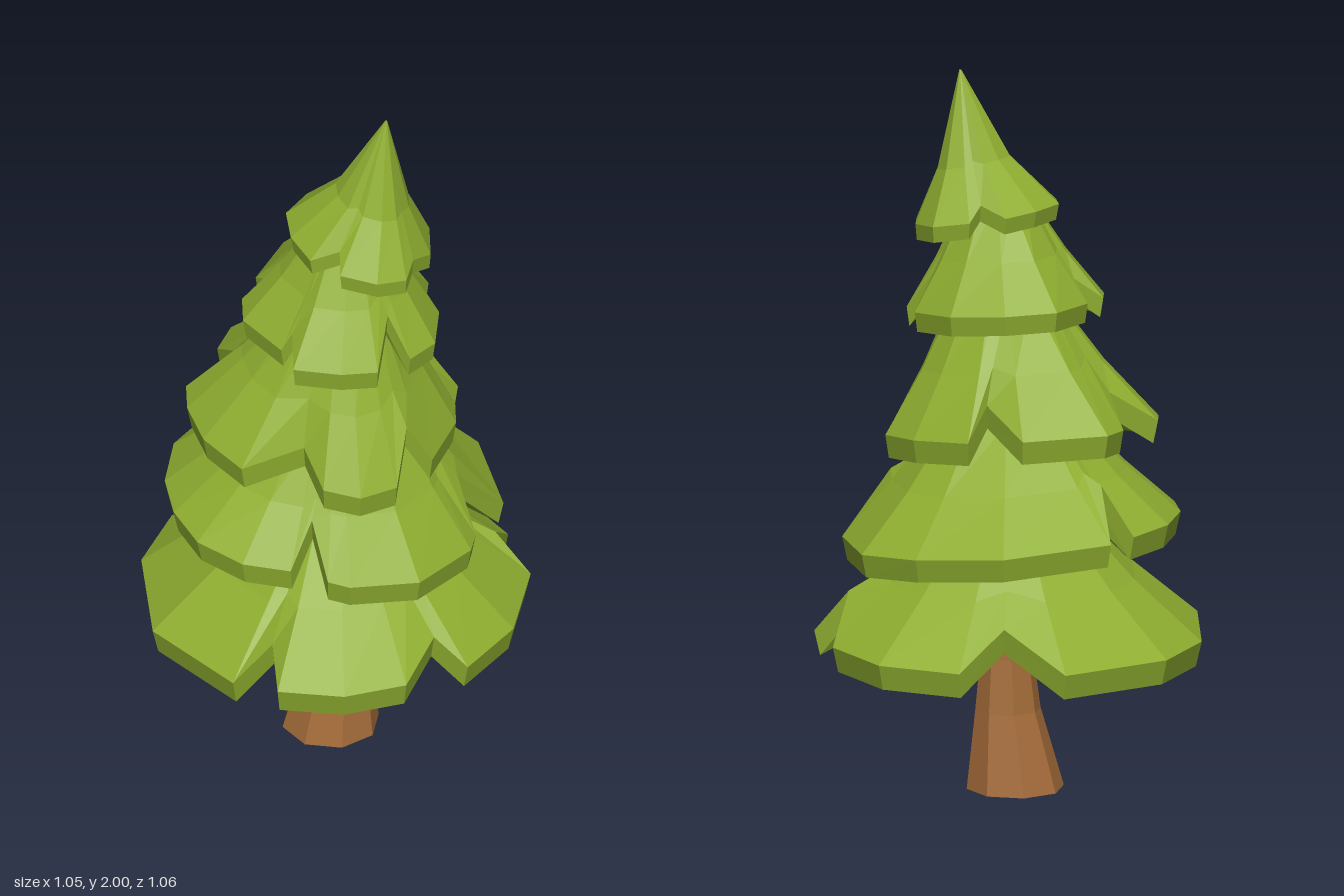
import * as THREE from 'three';

// Skins a stack of closed rings (each a list of [x, y, z]), lowest first.
function loft(rings, color, name) {
  const pos = [];
  for (let r = 0; r < rings.length - 1; r++) {
    const lo = rings[r], hi = rings[r + 1], n = lo.length;
    for (let i = 0; i < n; i++) {
      const j = (i + 1) % n;
      pos.push(...lo[i], ...lo[j], ...hi[j], ...lo[i], ...hi[j], ...hi[i]);
    }
  }
  const geo = new THREE.BufferGeometry();
  geo.setAttribute('position', new THREE.Float32BufferAttribute(pos, 3));
  geo.computeVertexNormals();
  const mesh = new THREE.Mesh(geo, new THREE.MeshStandardMaterial({ color, flatShading: true }));
  mesh.name = name;
  return mesh;
}

const mix = (a, b, t) => a + (b - a) * t;

// One skirt of branches. Outline points are [x, z, lift]; lift marks a notch.
function branchTier({ name, outline, y, tilt, thick, top, bend = 0.45 }) {
  const [cx, cy, cz, r] = top;
  const n = outline.length;
  const rimLow = outline.map(([x, z, lift = 0]) =>
    [mix(x, cx, 0.03), y + tilt[0] * x + tilt[1] * z + lift, mix(z, cz, 0.03)]);
  const rimHigh = outline.map(([x, z], i) => [x, rimLow[i][1] + thick, z]);
  const crown = outline.map(([x, z]) => {
    const a = Math.atan2(x - cx * 0.5, z - cz * 0.5);
    return [cx + r * Math.sin(a), cy, cz + r * Math.cos(a)];
  });
  // notches fade out above the rim
  const faded = (ring) => ring.map((p, i) => {
    if (!outline[i][2]) return p;
    const a = ring[(i + n - 1) % n], b = ring[(i + 1) % n];
    return p.map((v, k) => mix(v, (a[k] + b[k]) / 2, 0.55));
  });
  const between = (ring, txz, ty) => faded(ring).map((p, i) =>
    [mix(p[0], crown[i][0], txz), mix(p[1], crown[i][1], ty), mix(p[2], crown[i][2], txz)]);
  const centre = outline.map(() => [cx * 0.4, mix(y, cy, 0.42), cz * 0.4]);
  const peak = outline.map(() => [cx, cy, cz]);
  return loft([
    centre, between(rimLow, 0.55, 0.24), // shallow hollow underside
    rimLow, rimHigh, between(rimHigh, 0.5, bend), crown, peak,
  ], 0x8fae30, name);
}

const bottomOutline = [
  [-0.18, 0.50], [0, 0.53], [0.17, 0.48], [0.25, 0.34, 0.06], [0.34, 0.40], [0.47, 0.22],
  [0.525, -0.04], [0.43, -0.07, 0.12], [0.47, -0.23], [0.34, -0.43], [0.12, -0.52],
  [0, -0.42, 0.10], [-0.17, -0.53], [-0.44, -0.35], [-0.53, -0.14], [-0.51, 0.20],
  [-0.30, 0.455], [-0.19, 0.36, 0.06],
];
const lowerOutline = [
  [-0.04, 0.39], [0.02, 0.41], [0.21, 0.37], [0.355, 0.21], [0.37, 0.14],
  [0.32, 0.09, 0.16], [0.45, -0.01], [0.39, -0.28], [0.24, -0.41], [0, -0.50],
  [-0.29, -0.41], [-0.26, -0.27, 0.14], [-0.35, -0.33], [-0.44, -0.20], [-0.47, -0.03],
  [-0.45, 0.11], [-0.39, 0.24], [-0.27, 0.33], [-0.14, 0.35], [-0.08, 0.28, 0.12],
];
const middleOutline = [
  [-0.05, 0.33], [0.05, 0.36], [0.15, 0.31], [0.18, 0.21, 0.12], [0.25, 0.19], [0.32, 0.03],
  [0.32, -0.05], [0.25, -0.08, 0.10], [0.33, -0.12], [0.25, -0.25], [0.10, -0.36],
  [0.05, -0.27, 0.09], [-0.05, -0.385], [-0.28, -0.34], [-0.32, -0.25], [-0.28, -0.13, 0.09],
  [-0.41, -0.09], [-0.41, 0], [-0.37, 0.13], [-0.27, 0.25], [-0.10, 0.23, 0.06],
];
const upperOutline = [
  [-0.13, 0.26], [0, 0.275], [0.10, 0.26], [0.13, 0.16, 0.11], [0.19, 0.20], [0.26, 0.13],
  [0.275, 0], [0.20, -0.04, 0.10], [0.25, -0.12], [0.15, -0.25], [0, -0.295],
  [-0.14, -0.27], [-0.22, -0.12], [-0.18, -0.04, 0.06], [-0.26, -0.03], [-0.26, 0.06],
  [-0.16, 0.18], [-0.13, 0.17, 0.05],
];
const topOutline = [
  [0, 0.19], [0.10, 0.21], [0.18, 0.18], [0.20, 0.13, 0.03], [0.25, 0.06], [0.25, -0.05],
  [0.20, -0.16], [0.10, -0.19], [0.07, -0.15, 0.04], [0, -0.195], [-0.08, -0.14],
  [-0.14, -0.05], [-0.13, 0.05], [-0.08, 0.14], [0, 0.14, 0.04],
];

export function createModel() {
  const tree = new THREE.Group();
  tree.name = 'pineTree';

  // Flared eight-sided trunk: [centre x, y, radius] per ring
  const trunkRings = [[-0.02, 0, 0], [-0.02, 0, 0.134], [0, 0.22, 0.09], [0.003, 0.37, 0.073], [0.003, 0.6, 0.06]]
    .map(([cx, y, r]) => Array.from({ length: 8 }, (_, i) => {
      const a = (i / 8) * Math.PI * 2 + 0.2;
      return [cx + r * Math.sin(a), y, r * Math.cos(a)];
    }));
  tree.add(loft(trunkRings, 0xa56c3a, 'trunk'));

  // Five overlapping skirts, leaning toward the tip
  const tiers = [
    { name: 'bottomBranches', outline: bottomOutline, y: 0.375, tilt: [0, 0], thick: 0.07, top: [0, 0.80, 0, 0.17] },
    { name: 'lowerBranches', outline: lowerOutline, y: 0.675, tilt: [-0.087, -0.04], thick: 0.065, top: [0, 1.06, -0.01, 0.18] },
    { name: 'middleBranches', outline: middleOutline, y: 0.955, tilt: [-0.055, -0.1], thick: 0.065, top: [0.015, 1.40, 0, 0.125] },
    { name: 'upperBranches', outline: upperOutline, y: 1.305, tilt: [-0.06, -0.1], thick: 0.055, top: [0.03, 1.66, 0.01, 0.085] },
    { name: 'topBranches', outline: topOutline, y: 1.575, tilt: [-0.15, -0.1], thick: 0.045, top: [0.13, 2.0, 0.03, 0.003], bend: 0.35 },
  ];
  tiers.forEach((t) => tree.add(branchTier(t)));
  return tree;
}
